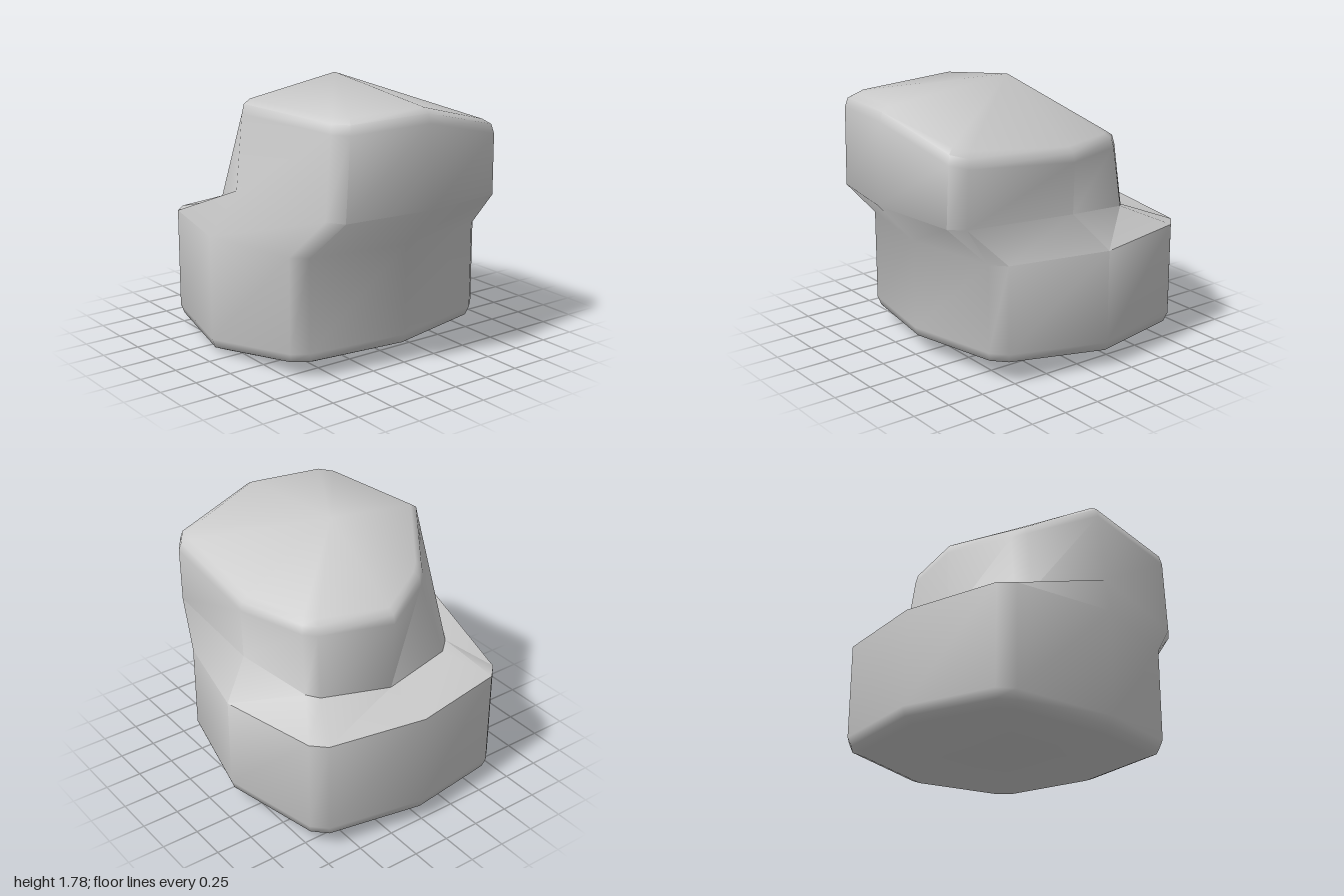
import * as THREE from 'three';
import { toCreasedNormals } from 'three/addons/utils/BufferGeometryUtils.js';

// Each cross-section runs: right, front corner, front, front corner, left, back corner, back, back corner
const foot = [[0.75, 0.19, 0], [0.62, 0.17, 0.73], [-0.125, 0.09, 0.9], [-0.868, 0.11, 0.73],
  [-1, 0.15, 0], [-0.868, 0.16, -0.73], [-0.125, 0.17, -0.9], [0.62, 0.21, -0.73]];
const ledge = foot.map(([x, , z]) => [x, 0.79, z]);
const neck = [[1, 1.07, 0], [0.88, 1.05, 0.64], [0, 1.1, 0.77], [-0.55, 0.88, 0.56],
  [-0.65, 0.84, 0], [-0.56, 0.92, -0.55], [0, 1.0, -0.69], [0.88, 1.05, -0.66]];
const crown = [[0.97, 1.6, 0], [0.89, 1.58, 0.61], [0, 1.59, 0.72], [-0.44, 1.38, 0.42],
  [-0.67, 1.32, 0], [-0.5, 1.33, -0.53], [0, 1.34, -0.7], [0.87, 1.43, -0.67]];

// Shrinks a section about a centre and shifts it vertically, for rounded rims
const inset = (ring, s, dy, cx) => ring.map(([x, y, z]) => [cx + (x - cx) * s, y + dy, z * s]);

// Replaces the four corner points by a narrow bevel
function bevel(ring, t = 0.1) {
  const mix = (a, b) => a.map((v, k) => v + (b[k] - v) * t);
  return ring.flatMap((p, i) => i % 2
    ? [mix(p, ring[i - 1]), mix(p, ring[(i + 1) % 8])]
    : [p]);
}

export function createModel() {
  const sections = [
    inset(foot, 0.9, -0.09, -0.125), inset(foot, 0.975, -0.06, -0.125), foot,
    ledge, neck,
    crown, inset(crown, 0.98, 0.06, 0.1), inset(crown, 0.92, 0.09, 0.1),
  ].map((ring) => bevel(ring));

  const n = sections[0].length;
  const points = sections.flat();
  const index = [];
  const base = points.push([-0.125, 0.05, 0]) - 1;
  const peak = points.push([0, 1.78, 0]) - 1;
  const last = (sections.length - 1) * n;

  for (let j = 0; j < n; j++) {
    const k = (j + 1) % n;
    // Sides
    for (let r = 0; r < last; r += n) {
      index.push(r + j, r + n + j, r + k, r + k, r + n + j, r + n + k);
    }
    // Underside and faceted top
    index.push(base, j, k, peak, last + k, last + j);
  }

  const geometry = new THREE.BufferGeometry();
  geometry.setAttribute('position', new THREE.Float32BufferAttribute(points.flat(), 3));
  geometry.setIndex(index);

  const rock = new THREE.Mesh(
    toCreasedNormals(geometry, 0.95),
    new THREE.MeshStandardMaterial({ color: 0xcccccc }),
  );
  rock.name = 'rock';

  const group = new THREE.Group();
  group.name = 'boulder';
  group.add(rock);
  return group;
}
